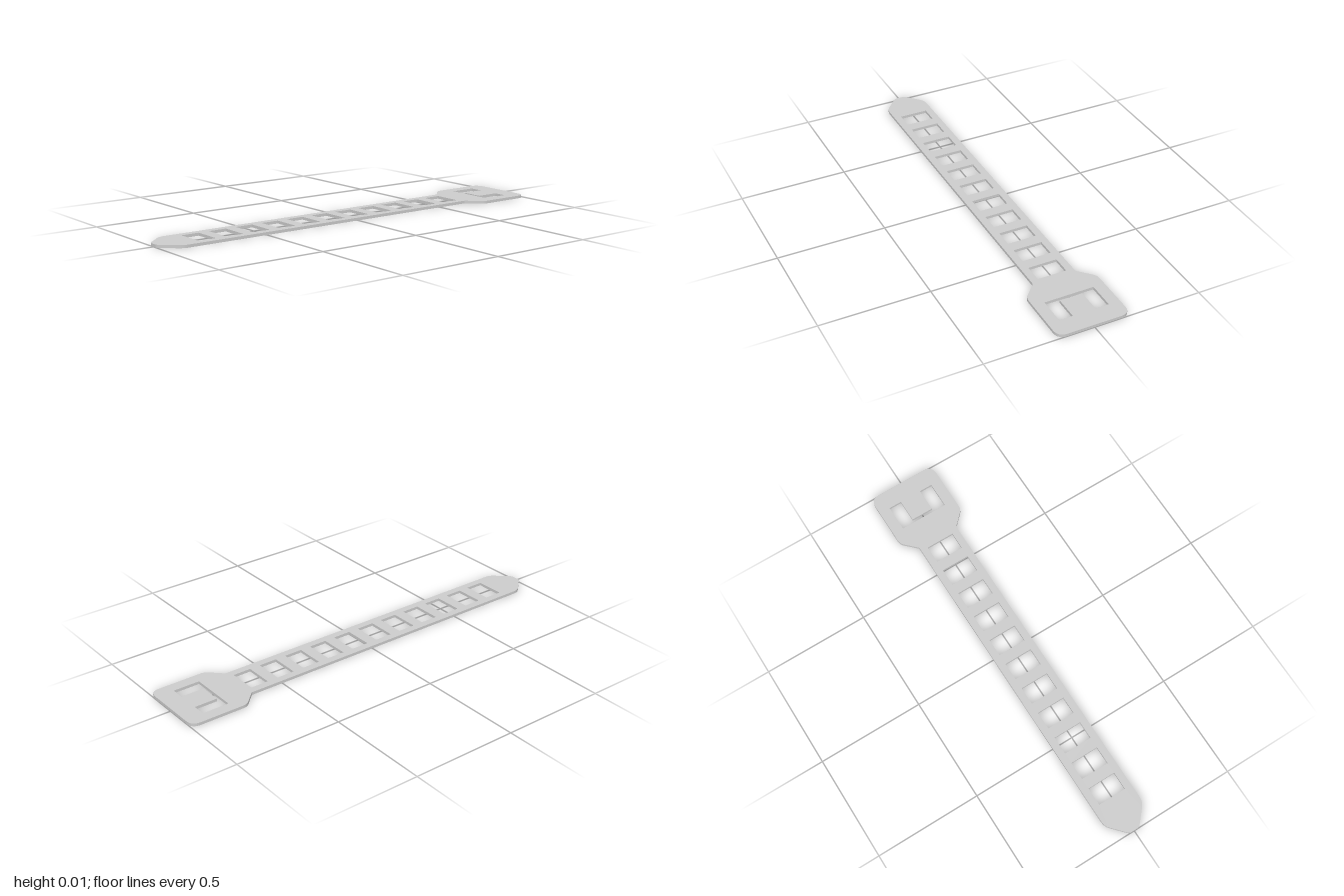
import * as THREE from 'three';

const THICKNESS = 0.013;

// Closed path with each corner [x, z, radius] rounded by a curve
function roundedPath(path, corners) {
  const n = corners.length;
  const toward = (a, b, r) => {
    const d = Math.hypot(b[0] - a[0], b[1] - a[1]);
    return [a[0] + (b[0] - a[0]) * r / d, a[1] + (b[1] - a[1]) * r / d];
  };
  corners.forEach((c, i) => {
    const r = c[2] || 0;
    const start = toward(c, corners[(i + n - 1) % n], r);
    const end = toward(c, corners[(i + 1) % n], r);
    if (i === 0) path.moveTo(...start);
    else path.lineTo(...start);
    if (r) path.quadraticCurveTo(c[0], c[1], ...end);
  });
  path.closePath();
  return path;
}

export function createModel() {
  const group = new THREE.Group();
  group.name = 'ladderStrap';

  // Outline: pointed tip, long strap, flared head; one half mirrored across z
  const half = [
    [-1, 0.025, 0.012], [-0.915, 0.102, 0.025], [0.66, 0.102, 0.006],
    [0.727, 0.169, 0.02], [1, 0.169, 0.045],
  ];
  const mirrored = half.map(([x, z, r]) => [x, -z, r]).reverse();
  const outline = roundedPath(new THREE.Shape(), [...half, ...mirrored]);

  // Row of rectangular ladder holes
  for (let i = 0; i < 11; i++) {
    const x = -0.781 + i * 0.1377, w = 0.043, d = 0.068;
    outline.holes.push(roundedPath(new THREE.Path(),
      [[x - w, -d], [x + w, -d], [x + w, d], [x - w, d]]));
  }

  // C-shaped slot in the head, leaving a tongue that locks the strap
  outline.holes.push(roundedPath(new THREE.Path(), [
    [0.787, -0.116], [0.913, -0.116], [0.913, -0.053], [0.803, -0.053],
    [0.803, 0.053], [0.913, 0.053], [0.913, 0.116], [0.787, 0.116],
  ]));

  const geometry = new THREE.ExtrudeGeometry(outline, {
    depth: THICKNESS, bevelEnabled: false, curveSegments: 8,
  });
  geometry.rotateX(-Math.PI / 2);

  const strap = new THREE.Mesh(geometry, new THREE.MeshStandardMaterial({ color: 0xcccccc }));
  strap.name = 'strap';
  group.add(strap);
  return group;
}
